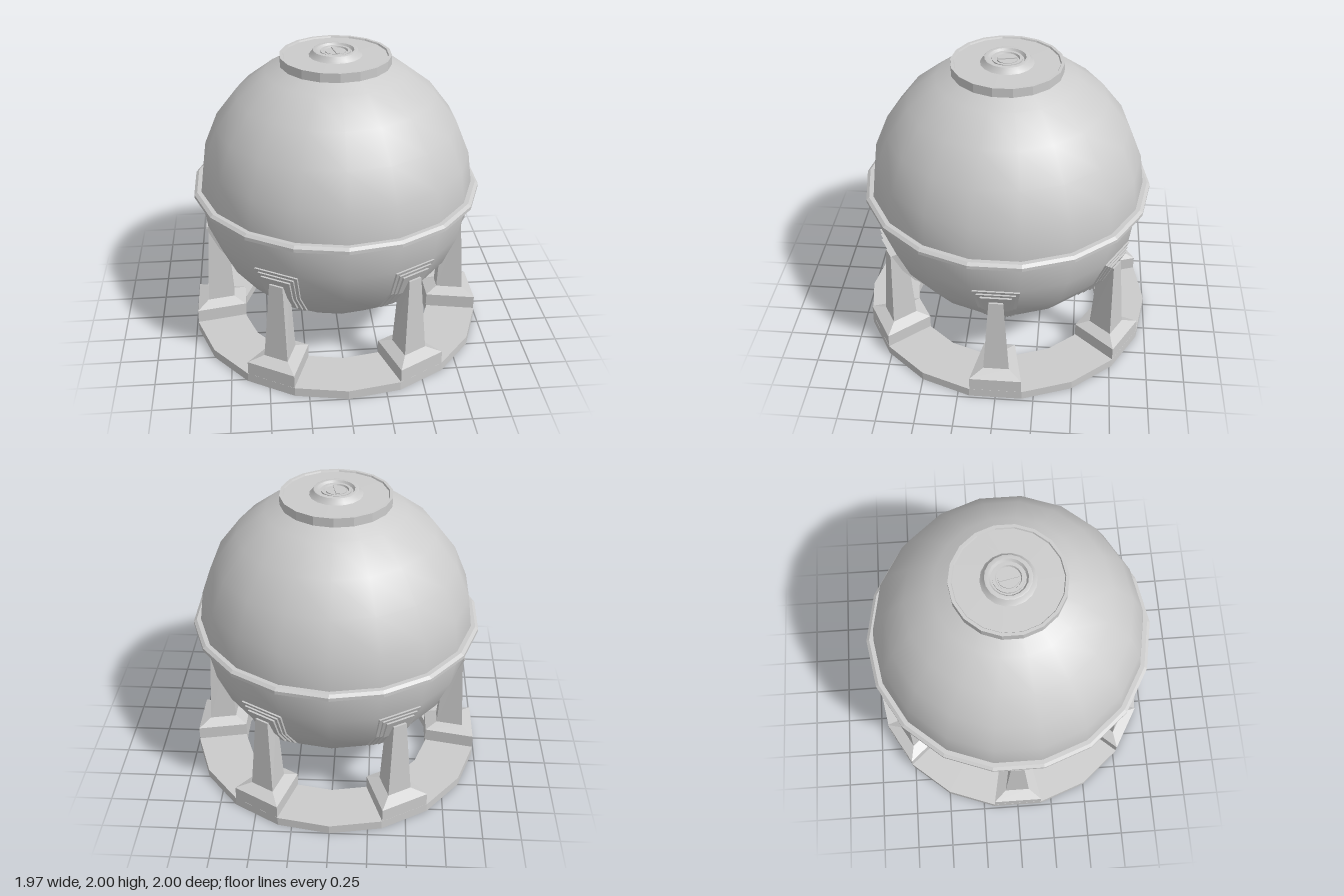
import * as THREE from 'three';
import { toCreasedNormals } from 'three/addons/utils/BufferGeometryUtils.js';

const SIDES = 18, RADIUS = 0.915, CENTRE = 1.07;
const APOTHEM = Math.cos(Math.PI / SIDES);
const material = new THREE.MeshStandardMaterial({ color: 0xcccccc });

function part(name, geometry) {
  const mesh = new THREE.Mesh(geometry, material);
  mesh.name = name;
  return mesh;
}

// Turned part from [radius, y] points; crease is the angle above which edges stay sharp
function turned(name, points, crease) {
  const geometry = new THREE.LatheGeometry(points.map(([r, y]) => new THREE.Vector2(r, y)), SIDES);
  return part(name, crease ? toCreasedNormals(geometry, crease) : geometry);
}

// Flat-sided block from sections [y, innerX, innerHalfWidth, outerX, outerHalfWidth], lowest first
function loft(name, sections) {
  const position = [], index = [];
  for (const [y, xi, wi, xo, wo] of sections) {
    position.push(xi, y, -wi, xo, y, -wo, xo, y, wo, xi, y, wi);
  }
  for (let s = 0; s < sections.length - 1; s++) {
    for (let i = 0; i < 4; i++) {
      const a = s * 4 + i, b = s * 4 + (i + 1) % 4;
      index.push(b, a, a + 4, b, a + 4, b + 4);
    }
  }
  const t = (sections.length - 1) * 4;
  index.push(0, 1, 2, 0, 2, 3, t, t + 2, t + 1, t, t + 3, t + 2);
  let geometry = new THREE.BufferGeometry();
  geometry.setAttribute('position', new THREE.Float32BufferAttribute(position, 3));
  geometry.setIndex(index);
  geometry = geometry.toNonIndexed();
  geometry.computeVertexNormals();
  return part(name, geometry);
}

// Distance from the axis to the middle of a tank facet at height y
const tankX = (y) => Math.sqrt(RADIUS ** 2 - (y - CENTRE) ** 2) * APOTHEM;

// Tapered plate lying on the tank, standing proud by the given height
function plate(name, top, bottom, topWidth, bottomWidth, proud) {
  const heights = [bottom, 0.6125, top];
  return loft(name, heights.map((y) => {
    const w = THREE.MathUtils.mapLinear(y, bottom, top, bottomWidth, topWidth);
    return [y, tankX(y) - 0.08, w, tankX(y) + proud, w];
  }));
}

function createLeg() {
  const leg = new THREE.Group();
  leg.name = 'leg';
  leg.add(
    loft('footing', [
      [0.03, 0.65, 0.105, 0.984, 0.17],
      [0.155, 0.65, 0.105, 0.984, 0.17],
      [0.19, 0.73, 0.05, 0.91, 0.085],
    ]),
    loft('post', [
      [0.185, 0.73, 0.05, 0.91, 0.085],
      [0.73, 0.76, 0.03, 0.88, 0.047],
    ]),
    plate('outerBracketPlate', 0.825, 0.43, 0.15, 0.10, 0.012),
    plate('middleBracketPlate', 0.802, 0.45, 0.125, 0.082, 0.022),
    plate('innerBracketPlate', 0.78, 0.48, 0.10, 0.065, 0.034),
  );
  return leg;
}

export function createModel() {
  const model = new THREE.Group();
  model.name = 'sphericalTank';

  // Tank shell, open only beneath the hatch
  const shell = [];
  for (let i = 0; i <= 11; i++) {
    const a = THREE.MathUtils.degToRad(-90 + i * 15);
    shell.push([i ? RADIUS * Math.cos(a) : 0, CENTRE + RADIUS * Math.sin(a)]);
  }
  model.add(turned('tankShell', shell));

  // Bevelled belt round the middle
  model.add(turned('equatorBelt', [
    [0.9, 1.04], [0.922, 1.04], [0.96, 1.06], [0.96, 1.083], [0.94, 1.098], [0.9, 1.098],
  ], 0.2));

  // Base ring
  model.add(turned('baseRing', [
    [0.66, 0], [1, 0], [1, 0.062], [0.66, 0.062], [0.66, 0],
  ], 0.2));

  // Hatch collar with a shallow recessed floor
  model.add(turned('hatchCollar', [
    [0.33, 1.9], [0.36, 1.91], [0.36, 1.97], [0.34, 1.97], [0.335, 1.96], [0.16, 1.963],
  ], 0.2));

  // Valve boss with stepped rings
  model.add(turned('valveBoss', [
    [0.175, 1.96], [0.16, 1.973], [0.145, 1.998], [0.138, 2], [0.12, 2], [0.108, 1.982],
    [0.098, 1.982], [0.098, 1.992], [0.08, 1.992], [0.075, 1.98], [0.066, 1.98],
    [0.066, 1.988], [0, 1.988],
  ], 0.5));
  const bar = part('valveBar', new THREE.BoxGeometry(0.024, 0.012, 0.125));
  bar.position.y = 1.989;
  bar.rotation.y = 0.2;
  model.add(bar);

  // Six legs
  for (let i = 0; i < 6; i++) {
    const leg = createLeg();
    leg.rotation.y = i * Math.PI / 3;
    model.add(leg);
  }
  return model;
}
